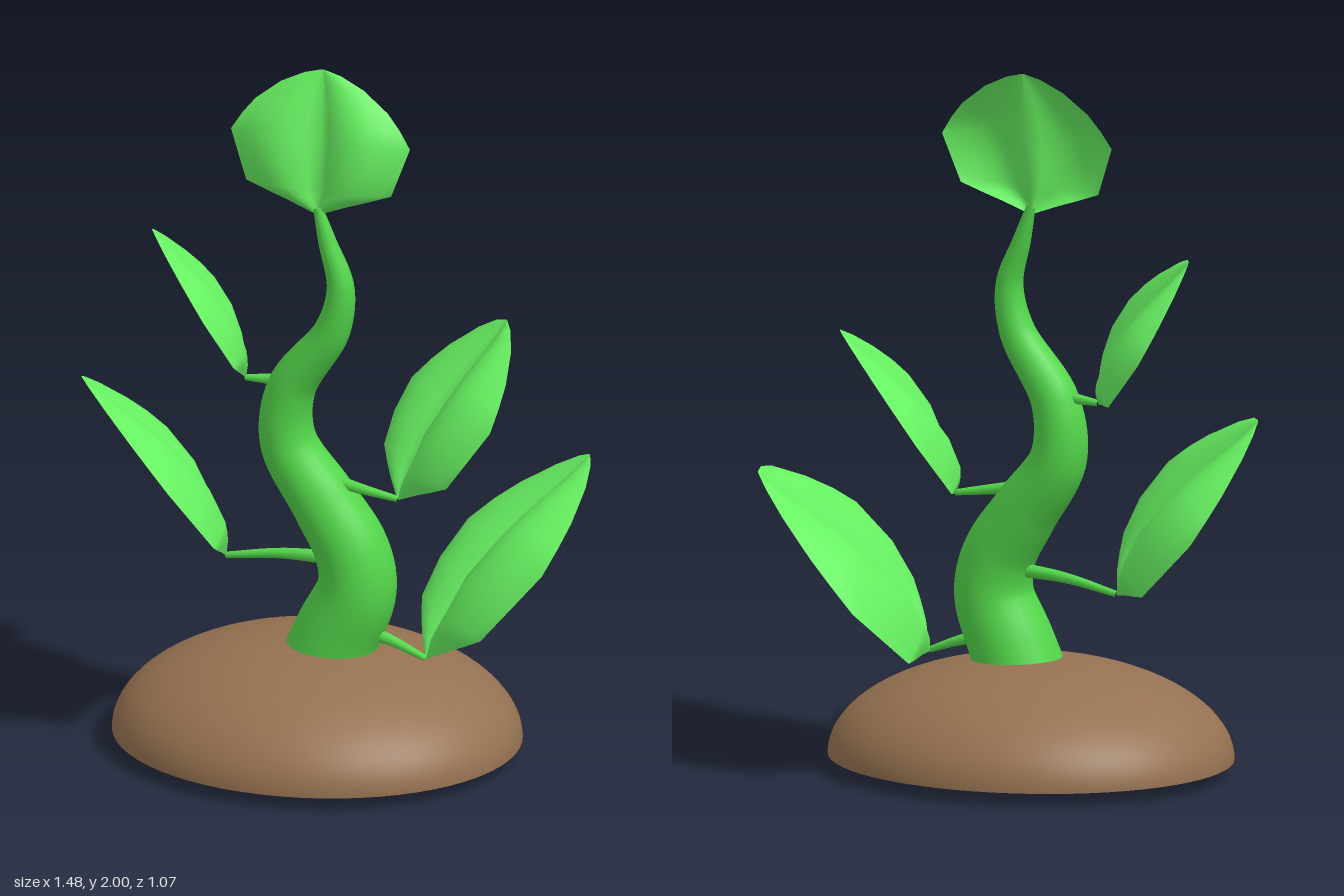
import * as THREE from 'three';

const green = new THREE.MeshStandardMaterial({ color: 0x53d84a });
const leafGreen = new THREE.MeshStandardMaterial({ color: 0x66f060, side: THREE.DoubleSide });
const brown = new THREE.MeshStandardMaterial({ color: 0x957150 });
const vec = (a) => new THREE.Vector3(...a);

function add(group, name, geometry, material) {
  const mesh = new THREE.Mesh(geometry, material);
  mesh.name = name;
  group.add(mesh);
  return mesh;
}

// Tube along a smooth path whose radius follows radiusAt(u)
function taperedTube(points, radiusAt, segments, sides) {
  const curve = new THREE.CatmullRomCurve3(points.map(vec));
  const geometry = new THREE.TubeGeometry(curve, segments, 1, sides);
  const pos = geometry.attributes.position;
  const v = new THREE.Vector3();
  for (let i = 0; i <= segments; i++) {
    const centre = curve.getPointAt(i / segments);
    const r = radiusAt(i / segments);
    for (let j = 0; j <= sides; j++) {
      const k = i * (sides + 1) + j;
      v.fromBufferAttribute(pos, k).sub(centre).multiplyScalar(r).add(centre);
      pos.setXYZ(k, v.x, v.y, v.z);
    }
  }
  geometry.computeBoundingSphere();
  return geometry;
}

// Leaf outline: [position along the midrib, share of the half width]
const outline = [[0, 0.03], [0.07, 0.32], [0.12, 0.55], [0.18, 0.81], [0.34, 0.9], [0.52, 1],
  [0.64, 0.88], [0.75, 0.74], [0.89, 0.46], [0.97, 0.2], [1, 0.02]];

// Leaf blade from base to tip; side is the half-width vector.
// Each half swells upward between the sunken midrib and the rim.
function leafGeometry(base, tip, side) {
  const along = tip.clone().sub(base);
  const up = side.clone().cross(along).normalize();
  const half = 8, cols = half * 2 + 1;
  const positions = [], indices = [];
  outline.forEach(([t, w], i) => {
    const swell = 0.14 * along.length() * Math.sin(Math.PI * Math.pow(t, 0.8));
    for (let j = 0; j < cols; j++) {
      const s = (j - half) / half;
      const p = base.clone().addScaledVector(along, t).addScaledVector(side, s * w)
        .addScaledVector(up, swell * Math.sin(Math.PI * Math.pow(Math.abs(s), 0.9)));
      positions.push(p.x, p.y, p.z);
      if (i && j) {
        const d = i * cols + j, c = d - 1, b = d - cols, a = b - 1;
        indices.push(a, b, d, a, d, c);
      }
    }
  });
  const geometry = new THREE.BufferGeometry();
  geometry.setAttribute('position', new THREE.Float32BufferAttribute(positions, 3));
  geometry.setIndex(indices);
  geometry.computeVertexNormals();
  return geometry;
}

const leaves = [
  { name: 'topLeaf', base: [-0.02, 1.59, 0.01], tip: [-0.03, 2, -0.05], side: [0.265, 0, -0.02] },
  { name: 'lowerLeftLeaf', base: [0.31, 0.31, 0.01], tip: [0.65, 0.845, -0.36], side: [0.245, 0.08, 0.345],
    stalk: [[0.1, 0.37, 0.01], [0.2, 0.35, 0.01]] },
  { name: 'upperLeftLeaf', base: [0.22, 0.77, 0], tip: [0.44, 1.25, -0.26], side: [0.225, 0.04, 0.265],
    stalk: [[-0.02, 0.81, 0.01], [0.1, 0.79, 0.01]] },
  { name: 'lowerRightLeaf', base: [-0.3, 0.53, 0.01], tip: [-0.69, 1.045, 0.13], side: [-0.195, -0.045, -0.33],
    stalk: [[0.06, 0.57, 0.01], [-0.13, 0.56, 0.01]] },
  { name: 'upperRightLeaf', base: [-0.24, 1.07, 0.01], tip: [-0.505, 1.49, 0.06], side: [-0.135, -0.045, -0.27],
    stalk: [[-0.08, 1.08, 0.01], [-0.17, 1.075, 0.01]] },
];

export function createModel() {
  const model = new THREE.Group();
  model.name = 'plant';

  // Soil mound: half an ellipsoid closed by a flat underside
  const mound = new THREE.Group();
  mound.name = 'soilMound';
  mound.position.set(-0.023, 0.04, 0.006);
  mound.scale.set(0.585, 0.285, 0.53);
  add(mound, 'soilDome', new THREE.SphereGeometry(1, 64, 24, 0, Math.PI * 2, 0, Math.PI / 2), brown);
  add(mound, 'soilUnderside', new THREE.CircleGeometry(1, 64).rotateX(Math.PI / 2), brown);
  model.add(mound);

  // Winding stem and the foot it stands on
  add(model, 'stemFoot', new THREE.CylinderGeometry(0.145, 0.145, 0.1, 32), green)
    .position.set(-0.023, 0.05, 0.01);
  const path = [[-0.023, 0.08, 0.01], [-0.01, 0.2, 0.01], [0.042, 0.35, 0.01], [0.1, 0.49, 0.01],
    [0.085, 0.6, 0.01], [0.0, 0.735, 0.01], [-0.11, 0.9, 0.01], [-0.1, 1.06, 0.01],
    [0.025, 1.25, 0.01], [0.05, 1.38, 0.01], [0.01, 1.51, 0.01], [-0.02, 1.61, 0.01]];
  add(model, 'stem', taperedTube(path, (u) => 0.012 + 0.128 * Math.pow(1 - u, 0.8), 80, 24), green);

  // Leaves and their stalks
  for (const { name, base, tip, side, stalk } of leaves) {
    const leaf = new THREE.Group();
    leaf.name = name;
    add(leaf, 'blade', leafGeometry(vec(base), vec(tip), vec(side)), leafGreen);
    if (stalk) add(leaf, 'stalk', taperedTube([...stalk, base], (u) => 0.022 - 0.013 * u, 12, 10), green);
    model.add(leaf);
  }
  return model;
}
